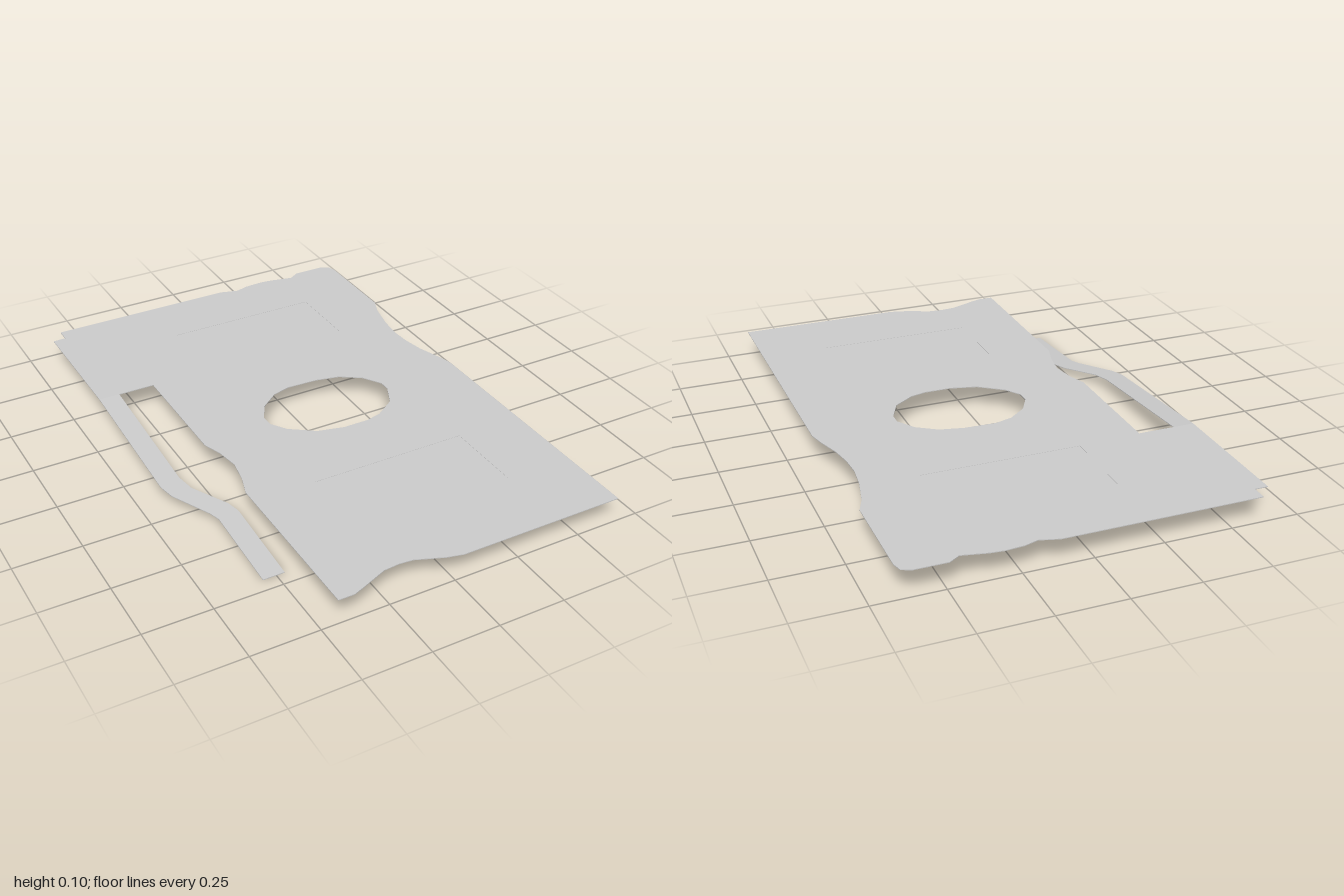
import * as THREE from 'three';

const TOP = 0.097, SKIN = 0.001, BASE = 0.002;

// Points are [x, z] as seen from above
const toPoints = (pts) => pts.map(([x, z]) => new THREE.Vector2(x, -z));
const rect = (x0, z0, x1, z1) => [[x0, z0], [x1, z0], [x1, z1], [x0, z1]];

const outline = [
  [-0.44, 1], [-0.38, 1], [-0.34, 0.985], [-0.24, 0.945], [-0.18, 0.94], [-0.13, 0.945], [-0.03, 0.985], [0.03, 1],
  [0.66, 1], [0.66, -0.03], [0.645, -0.09], [0.615, -0.18], [0.6, -0.26], [0.595, -0.34], [0.605, -0.43], [0.63, -0.54], [0.655, -0.6],
  [0.655, -0.95], [0.645, -0.985], [0.61, -1],
  [0.49, -1], [0.45, -0.975], [0.36, -0.995], [0.31, -1], [0.24, -0.995], [0.19, -0.98], [0.12, -1],
  [-0.61, -1], [-0.61, -0.945], [-0.66, -0.945], [-0.66, -0.44], [-0.44, -0.44],
  [-0.44, 0.03], [-0.415, 0.1], [-0.4, 0.19], [-0.415, 0.28], [-0.44, 0.36],
];
const opening = [
  [0.13, -0.17], [0.22, -0.15], [0.295, -0.1], [0.34, -0.03], [0.34, 0.015], [0.3, 0.1], [0.22, 0.155], [0.16, 0.17],
  [0.06, 0.17], [-0.04, 0.145], [-0.13, 0.08], [-0.17, 0.02], [-0.17, -0.03], [-0.13, -0.1], [-0.06, -0.155], [0.01, -0.175],
];
const armOutline = [
  [-0.66, -0.44], [-0.66, 0.13], [-0.645, 0.19], [-0.565, 0.33], [-0.55, 0.37], [-0.55, 0.7],
  [-0.47, 0.7], [-0.47, 0.36], [-0.485, 0.31], [-0.565, 0.18], [-0.58, 0.11], [-0.58, -0.44],
];
const recesses = [rect(-0.2, -0.75, 0.4, -0.45), rect(-0.2, 0.42, 0.4, 0.72)];

// Flat slab lying in the xz plane with its underside at y
function slab(name, pts, holes, y, depth, material) {
  const shape = new THREE.Shape(toPoints(pts));
  shape.holes = holes.map((h) => new THREE.Path(toPoints(h)));
  const geo = new THREE.ExtrudeGeometry(shape, { depth, bevelEnabled: false });
  geo.rotateX(-Math.PI / 2).translate(0, y, 0);
  const mesh = new THREE.Mesh(geo, material);
  mesh.name = name;
  return mesh;
}

export function createModel() {
  const group = new THREE.Group();
  group.name = 'stampedPlate';
  const material = new THREE.MeshStandardMaterial({ color: 0xcccccc, flatShading: true });

  // Plate: a base sheet and a skin that leaves two shallow recesses
  group.add(slab('plateBase', outline, [opening], TOP - SKIN - BASE, BASE, material));
  group.add(slab('plateSkin', outline, [opening, ...recesses], TOP - SKIN, SKIN, material));

  // Spring arm, sloping down from its root to the ground at the tip
  const arm = slab('springArm', armOutline, [], TOP - SKIN - BASE, SKIN + BASE, material);
  const pos = arm.geometry.attributes.position;
  const slope = (TOP - SKIN - BASE) / (0.7 + 0.44);
  for (let i = 0; i < pos.count; i++) pos.setY(i, pos.getY(i) - slope * (pos.getZ(i) + 0.44));
  arm.geometry.computeVertexNormals();
  group.add(arm);

  return group;
}
